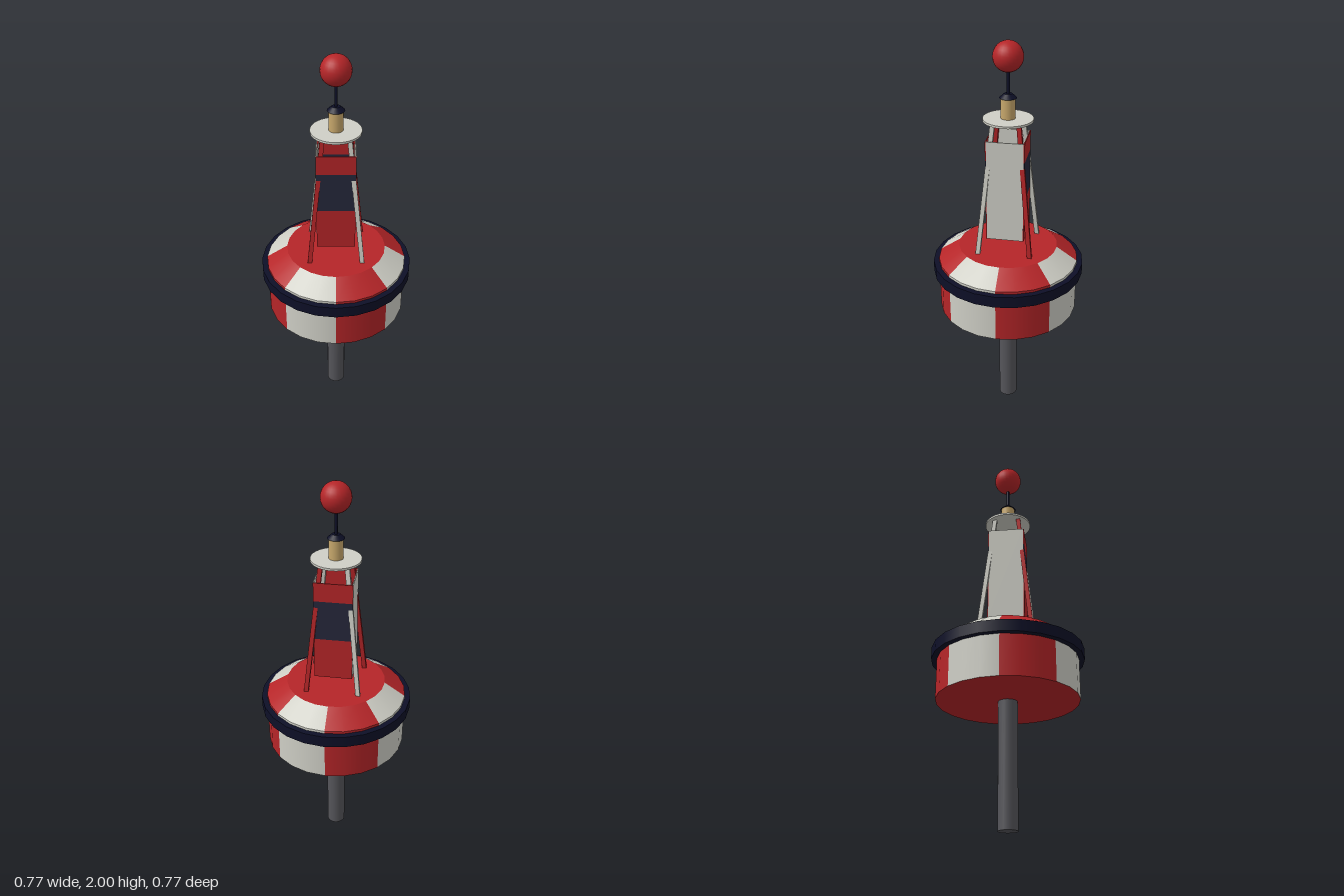
import * as THREE from 'three';

const mat = (name, color) => {
  const m = new THREE.MeshStandardMaterial({ color });
  m.name = name;
  return m;
};

export function createModel() {
  const red = mat('red', 0xb52528);
  const white = mat('offWhite', 0xcfcfc6);
  const black = mat('rubberNavy', 0x0d0f27);
  const navy = mat('bandNavy', 0x25273b);
  const tan = mat('lampTan', 0xc8a86c);
  const steel = mat('steel', 0x55555a);

  const model = new THREE.Group();
  model.name = 'buoy';

  const add = (name, geometry, material, parent = model) => {
    const mesh = new THREE.Mesh(geometry, material);
    mesh.name = name;
    parent.add(mesh);
    return mesh;
  };
  // upright cylinder or cone between two heights
  const column = (name, rTop, rBottom, y0, y1, sides, material) => {
    const mesh = add(name, new THREE.CylinderGeometry(rTop, rBottom, y1 - y0, sides), material);
    mesh.position.y = (y0 + y1) / 2;
    return mesh;
  };

  // counterweight post
  column('post', 0.048, 0.048, 0, 0.64, 20, steel);

  // hull: eight alternating sectors of wall and sloping shoulder
  const hull = new THREE.Group();
  hull.name = 'hull';
  model.add(hull);
  const R = 0.355, deckR = 0.25, yBottom = 0.618, yWall = 0.897, yDeck = 0.968;
  const step = Math.PI / 4;
  for (let i = 0; i < 8; i++) {
    const color = i % 2 ? white : red;
    const wall = new THREE.CylinderGeometry(R, R, yWall - yBottom, 3, 1, true, i * step, step);
    add('hullWall', wall, color, hull).position.y = (yWall + yBottom) / 2;
    const slope = new THREE.CylinderGeometry(deckR, R, yDeck - yWall, 3, 1, true, i * step, step);
    add('hullShoulder', slope, color, hull).position.y = (yDeck + yWall) / 2;
  }
  const deck = add('deck', new THREE.CircleGeometry(deckR, 24), red, hull);
  deck.rotation.x = -Math.PI / 2;
  deck.position.y = yDeck;
  const base = add('hullBottom', new THREE.CircleGeometry(R, 24), red, hull);
  base.rotation.x = Math.PI / 2;
  base.position.y = yBottom;

  // fender ring round the hull
  column('fender', 0.383, 0.383, 0.825, 0.884, 24, black);

  // four leaning legs: square bars sheared inwards towards the top
  const legBottom = 0.965, legTop = 1.63;
  for (const sx of [1, -1]) for (const sz of [1, -1]) {
    const g = new THREE.BoxGeometry(0.022, legTop - legBottom, 0.022);
    const p = g.attributes.position;
    for (let i = 0; i < p.count; i++) {
      const offset = p.getY(i) < 0 ? 0.13 : 0.062;
      p.setX(i, p.getX(i) + sx * offset);
      p.setZ(i, p.getZ(i) + sz * offset);
    }
    g.computeVertexNormals();
    add('leg', g, sx === sz ? white : red).position.y = (legTop + legBottom) / 2;
  }

  // day-mark panels forming an open box
  const panel = (name, w, y0, y1, d, angle, material) => {
    const holder = new THREE.Group();
    holder.name = name;
    holder.rotation.y = angle;
    const mesh = add(name, new THREE.BoxGeometry(w, y1 - y0, 0.005), material, holder);
    mesh.position.set(0, (y0 + y1) / 2, d);
    model.add(holder);
  };
  for (const a of [0, Math.PI]) {
    panel('redPanelLower', 0.188, 1.035, 1.25, 0.092, a, red);
    panel('redPanelBand', 0.188, 1.25, 1.453, 0.092, a, navy);
    panel('redPanelUpper', 0.188, 1.453, 1.548, 0.092, a, red);
    panel('whitePanel', 0.179, 1.035, 1.548, 0.092, a + Math.PI / 2, white);
  }

  // lamp platform, lamp and cap
  column('platform', 0.121, 0.121, 1.627, 1.638, 40, white);
  column('lamp', 0.035, 0.035, 1.638, 1.738, 20, tan);
  column('lampCap', 0.02, 0.042, 1.736, 1.756, 20, black);

  // topmark
  column('mast', 0.008, 0.008, 1.75, 1.88, 10, black);
  add('topBall', new THREE.SphereGeometry(0.072, 24, 16), red).position.y = 1.928;

  return model;
}
